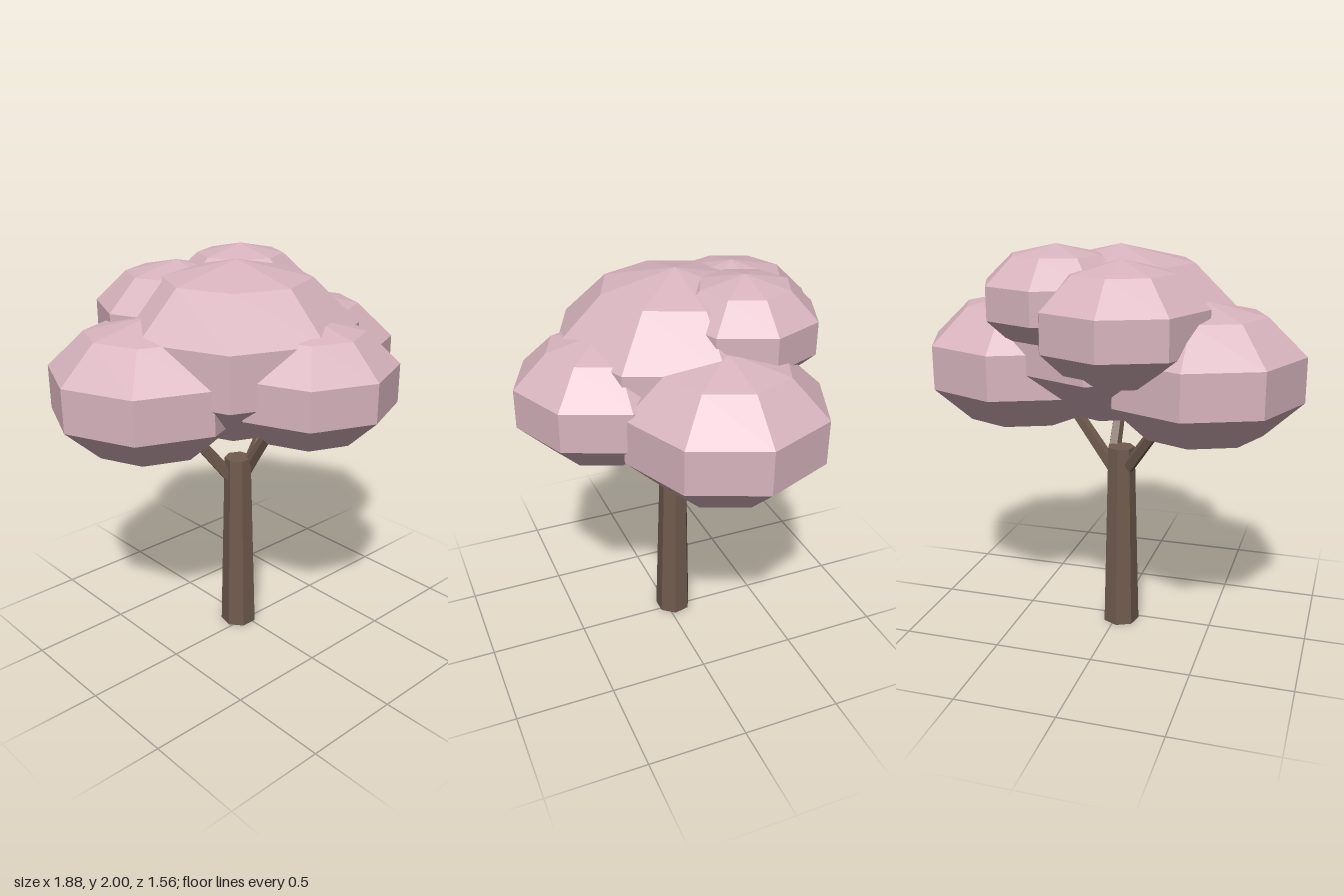
import * as THREE from 'three';

export function createModel() {
  const tree = new THREE.Group();
  tree.name = 'tree';

  const blossom = new THREE.MeshStandardMaterial({ color: 0xd8b4be, flatShading: true });
  blossom.name = 'blossomPink';
  const bark = new THREE.MeshStandardMaterial({ color: 0x705b4e, flatShading: true });
  bark.name = 'barkBrown';

  // Tapered seven-sided trunk
  const trunk = new THREE.Mesh(new THREE.CylinderGeometry(0.07, 0.095, 0.97, 7), bark);
  trunk.name = 'trunk';
  trunk.position.set(-0.025, 0.485, -0.04);
  trunk.rotation.y = Math.PI;
  tree.add(trunk);

  // Branches run from inside the trunk into the foliage
  const up = new THREE.Vector3(0, 1, 0);
  function addBranch(name, from, to) {
    const a = new THREE.Vector3(...from);
    const b = new THREE.Vector3(...to);
    const dir = b.clone().sub(a);
    const mesh = new THREE.Mesh(new THREE.CylinderGeometry(0.028, 0.035, dir.length(), 5), bark);
    mesh.name = name;
    mesh.position.copy(a).add(b).multiplyScalar(0.5);
    mesh.quaternion.setFromUnitVectors(up, dir.normalize());
    tree.add(mesh);
  }
  addBranch('leftBranch', [0.015, 0.85, -0.04], [0.29, 1.26, -0.06]);
  addBranch('rightBranch', [-0.055, 0.85, -0.055], [-0.335, 1.25, -0.2]);
  addBranch('frontBranch', [0.023, 0.91, -0.015], [0.03, 1.27, 0.215]);

  // Flattened foliage clumps: centre, horizontal radius, vertical radius
  const clumps = [
    ['crownClump', [-0.025, 1.555, -0.045], 0.618, 0.43],
    ['rightClump', [-0.46, 1.41, -0.185], 0.505, 0.345],
    ['leftClump', [0.46, 1.41, -0.09], 0.505, 0.345],
    ['frontClump', [0.07, 1.456, 0.355], 0.442, 0.306],
    ['backClump', [-0.125, 1.652, -0.38], 0.426, 0.296],
    ['topClump', [0.215, 1.748, -0.285], 0.37, 0.252],
  ];
  for (const [name, centre, radius, height] of clumps) {
    const mesh = new THREE.Mesh(new THREE.SphereGeometry(1, 8, 5), blossom);
    mesh.name = name;
    mesh.position.set(...centre);
    mesh.scale.set(radius, height, radius);
    tree.add(mesh);
  }
  return tree;
}
